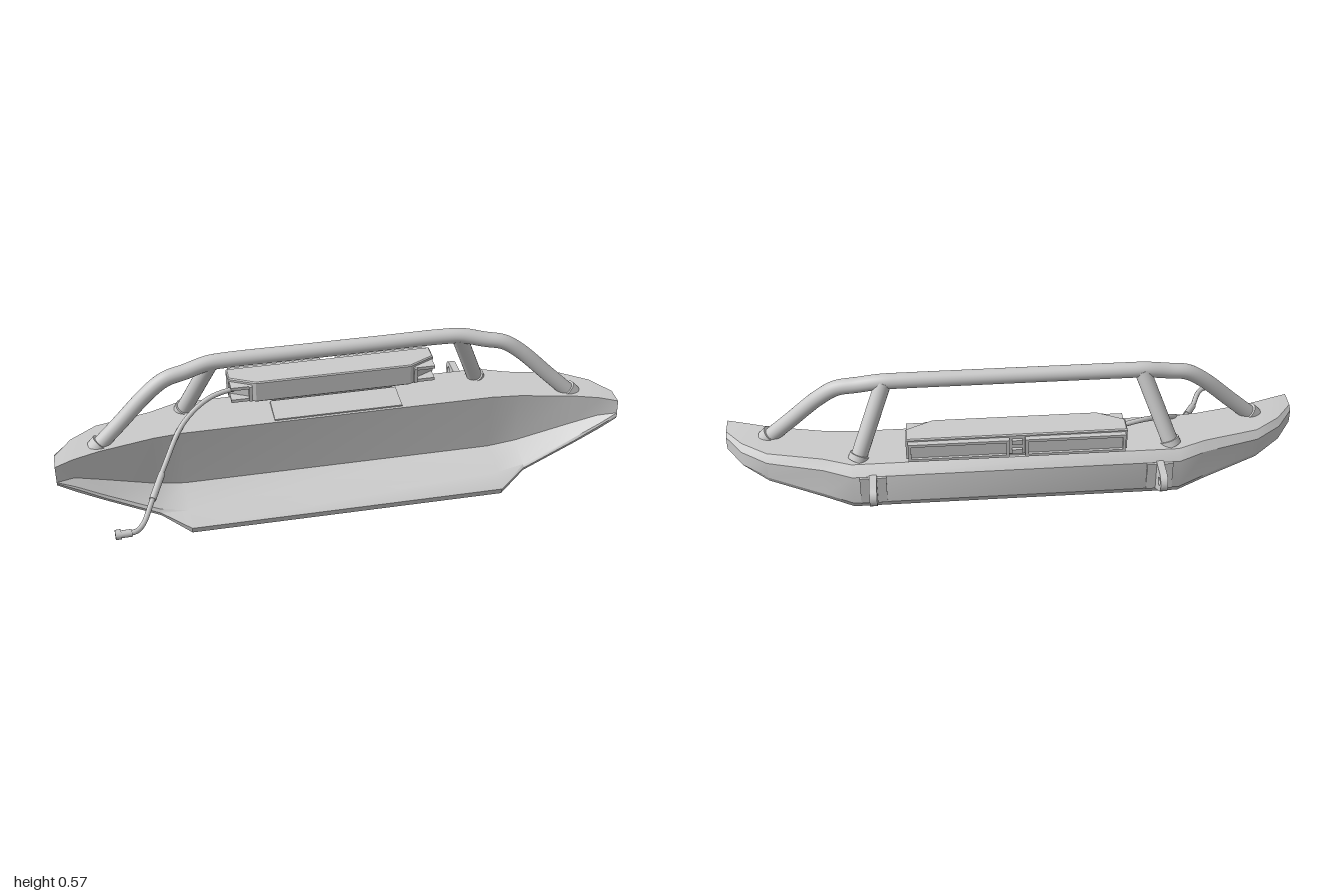
import * as THREE from 'three';
import { toCreasedNormals } from 'three/addons/utils/BufferGeometryUtils.js';

const material = new THREE.MeshStandardMaterial({ color: 0xcccccc, side: THREE.DoubleSide });
const V = (x, y, z) => new THREE.Vector3(x, y, z);

function add(parent, name, geometry, x = 0, y = 0, z = 0) {
  const mesh = new THREE.Mesh(geometry, material);
  mesh.name = name;
  mesh.position.set(x, y, z);
  parent.add(mesh);
  return mesh;
}

function box(parent, name, w, h, d, x, y, z) {
  return add(parent, name, new THREE.BoxGeometry(w, h, d), x, y, z);
}

// Straight round bar between two points
function bar(parent, name, a, b, r, sides = 24) {
  const mesh = add(parent, name, new THREE.CylinderGeometry(r, r, a.distanceTo(b), sides));
  mesh.position.copy(a).add(b).multiplyScalar(0.5);
  mesh.quaternion.setFromUnitVectors(V(0, 1, 0), b.clone().sub(a).normalize());
  return mesh;
}

// Skin closed [z, y] sections placed along x, with both ends capped
function loft(stations) {
  const n = stations[0].pts.length;
  const last = stations.length - 1;
  const pos = [];
  const put = (...list) => list.forEach(([i, j]) => {
    const [z, y] = stations[i].pts[j % n];
    pos.push(stations[i].x, y, z);
  });
  for (let i = 0; i < last; i++) {
    for (let j = 0; j < n; j++) {
      put([i, j], [i + 1, j], [i + 1, j + 1]);
      put([i, j], [i + 1, j + 1], [i, j + 1]);
    }
  }
  for (let k = 1; k < n - 1; k++) {
    put([0, 0], [0, k], [0, k + 1]);
    put([last, 0], [last, k + 1], [last, k]);
  }
  const g = new THREE.BufferGeometry();
  g.setAttribute('position', new THREE.Float32BufferAttribute(pos, 3));
  return toCreasedNormals(g, 0.45);
}

// Bumper shell: half the stations, mirrored to the other side
function shellGeometry() {
  const middle = [[-0.02, 0.305], [-0.21, 0.305], [-0.243, 0.275], [-0.25, 0.17], [-0.23, 0.14], [-0.1, 0.08],
    [0.04, 0.035], [0.16, 0.005], [0.168, 0.03], [0.105, 0.06], [-0.03, 0.08]];
  const half = [
    { x: 0.56, pts: middle },
    { x: 0.66, pts: [[-0.01, 0.305], [-0.17, 0.305], [-0.195, 0.275], [-0.205, 0.18], [-0.19, 0.155], [-0.08, 0.105],
      [0.03, 0.07], [0.095, 0.047], [0.1, 0.06], [0.09, 0.07], [-0.02, 0.1]] },
    { x: 0.85, pts: [[0.03, 0.305], [-0.125, 0.305], [-0.147, 0.28], [-0.15, 0.22], [-0.14, 0.2], [-0.06, 0.175],
      [0.03, 0.155], [0.09, 0.142], [0.095, 0.155], [0.09, 0.165], [0.03, 0.185]] },
    { x: 0.94, pts: [[0.06, 0.305], [-0.06, 0.305], [-0.085, 0.285], [-0.09, 0.235], [-0.08, 0.225], [-0.04, 0.21],
      [0.03, 0.2], [0.088, 0.19], [0.092, 0.205], [0.088, 0.212], [0.055, 0.225]] },
    { x: 1, pts: [[0.085, 0.3], [0.02, 0.3], [0, 0.29], [0, 0.24], [0.01, 0.232], [0.03, 0.23],
      [0.05, 0.227], [0.085, 0.225], [0.09, 0.235], [0.09, 0.24], [0.088, 0.25]] },
  ];
  const mirrored = half.map((s) => ({ x: -s.x, pts: s.pts })).reverse();
  return loft([...mirrored, ...half]);
}

// Tow tab with a shackle hole, drawn with its tip forward
function tabGeometry(thickness) {
  const s = new THREE.Shape();
  s.moveTo(0.24, 0.165);
  s.lineTo(0.252, 0.168);
  s.lineTo(0.328, 0.217);
  s.absarc(0.308, 0.245, 0.034, -0.95, 1.5, false);
  s.lineTo(0.24, 0.28);
  const hole = new THREE.Path();
  hole.absarc(0.308, 0.245, 0.015, 0, Math.PI * 2, true);
  s.holes.push(hole);
  const g = new THREE.ExtrudeGeometry(s, { depth: thickness, bevelEnabled: false, curveSegments: 20 });
  g.translate(0, 0, -thickness / 2);
  return g.rotateY(Math.PI / 2);
}

function lightBar() {
  const g = new THREE.Group();
  g.name = 'lightBar';
  // Housing tapers toward its back
  const s = new THREE.Shape([[-0.37, 0.225], [-0.37, 0.17], [-0.28, 0.125], [0.28, 0.125], [0.37, 0.17], [0.37, 0.225]]
    .map(([x, z]) => new THREE.Vector2(x, z)));
  const body = new THREE.ExtrudeGeometry(s, { depth: 0.075, bevelEnabled: true, bevelSize: 0.004, bevelThickness: 0.004, bevelSegments: 1 });
  body.rotateX(-Math.PI / 2);
  add(g, 'lightHousing', body, 0, 0.334, 0);
  for (const side of [-1, 1]) {
    const x = side * 0.197;
    // Raised frame and inset lens of each lamp
    for (const y of [0.339, 0.399]) box(g, 'lampFrame', 0.34, 0.01, 0.024, x, y, -0.236);
    for (const dx of [-0.165, 0.165]) box(g, 'lampFrame', 0.01, 0.06, 0.024, x + dx, 0.369, -0.236);
    box(g, 'lampLens', 0.32, 0.05, 0.014, x, 0.369, -0.232);
    // Forked end bracket
    for (const y of [0.345, 0.395]) box(g, 'endBracket', 0.07, 0.012, 0.05, side * 0.335, y, -0.145);
    box(g, 'endBracket', 0.012, 0.06, 0.05, side * 0.3, 0.37, -0.14);
  }
  for (const y of [0.35, 0.388]) box(g, 'lampDivider', 0.036, 0.018, 0.018, 0, y, -0.232);
  return g;
}

export function createModel() {
  const model = new THREE.Group();
  model.name = 'bumper';
  add(model, 'bumperShell', shellGeometry());

  // Bent hoop across the top
  const halfPath = [V(0.86, 0.285, -0.015), V(0.77, 0.37, -0.028), V(0.66, 0.475, -0.045), V(0.6, 0.515, -0.053),
    V(0.53, 0.53, -0.062), V(0.45, 0.547, -0.074), V(0.38, 0.55, -0.077), V(0.15, 0.55, -0.077)];
  const path = [...halfPath.map((p) => V(-p.x, p.y, p.z)), ...halfPath.slice().reverse()];
  const hoop = new THREE.CatmullRomCurve3(path, false, 'centripetal');
  add(model, 'hoopBar', new THREE.TubeGeometry(hoop, 160, 0.027, 24));

  for (const side of [-1, 1]) {
    // Braces with collars where the bars meet the shell
    const top = V(side * 0.44, 0.545, -0.077);
    const foot = V(side * 0.54, 0.295, -0.172);
    bar(model, 'hoopBrace', top, foot, 0.028);
    bar(model, 'braceCollar', foot.clone().lerp(top, 0.08), foot, 0.034);
    bar(model, 'hoopCollar', V(side * 0.838, 0.308, -0.018), V(side * 0.86, 0.285, -0.015), 0.034);

    add(model, 'towTab', tabGeometry(0.025), side * 0.49);
    box(model, 'towTabBase', 0.09, 0.105, 0.01, side * 0.49, 0.222, -0.247);
    const pad = box(model, 'lowerPad', 0.05, 0.003, 0.04, side * 0.45, 0.106, -0.173);
    pad.rotation.x = 0.42;
  }

  // Light bar and its mount
  model.add(lightBar());
  const plate = box(model, 'mountPlate', 0.46, 0.01, 0.11, 0, 0.308, -0.085);
  plate.rotation.x = 0.05;
  box(model, 'mountBracket', 0.44, 0.035, 0.05, 0, 0.318, -0.175);

  // Loose cable with sleeve and plug
  const cable = new THREE.CatmullRomCurve3([V(-0.33, 0.375, -0.165), V(-0.45, 0.37, -0.12), V(-0.55, 0.325, -0.05),
    V(-0.63, 0.24, 0.06), V(-0.69, 0.192, 0.19), V(-0.73, 0.176, 0.29), V(-0.755, 0.174, 0.32), V(-0.79, 0.174, 0.326)]);
  add(model, 'cable', new THREE.TubeGeometry(cable, 80, 0.009, 12));
  bar(model, 'cableSleeve', V(-0.645, 0.224, 0.09), V(-0.688, 0.192, 0.185), 0.012, 16);
  bar(model, 'cablePlug', V(-0.77, 0.174, 0.325), V(-0.81, 0.175, 0.327), 0.013, 16);
  bar(model, 'cablePlugCap', V(-0.805, 0.175, 0.326), V(-0.825, 0.175, 0.327), 0.017, 16);

  return model;
}
